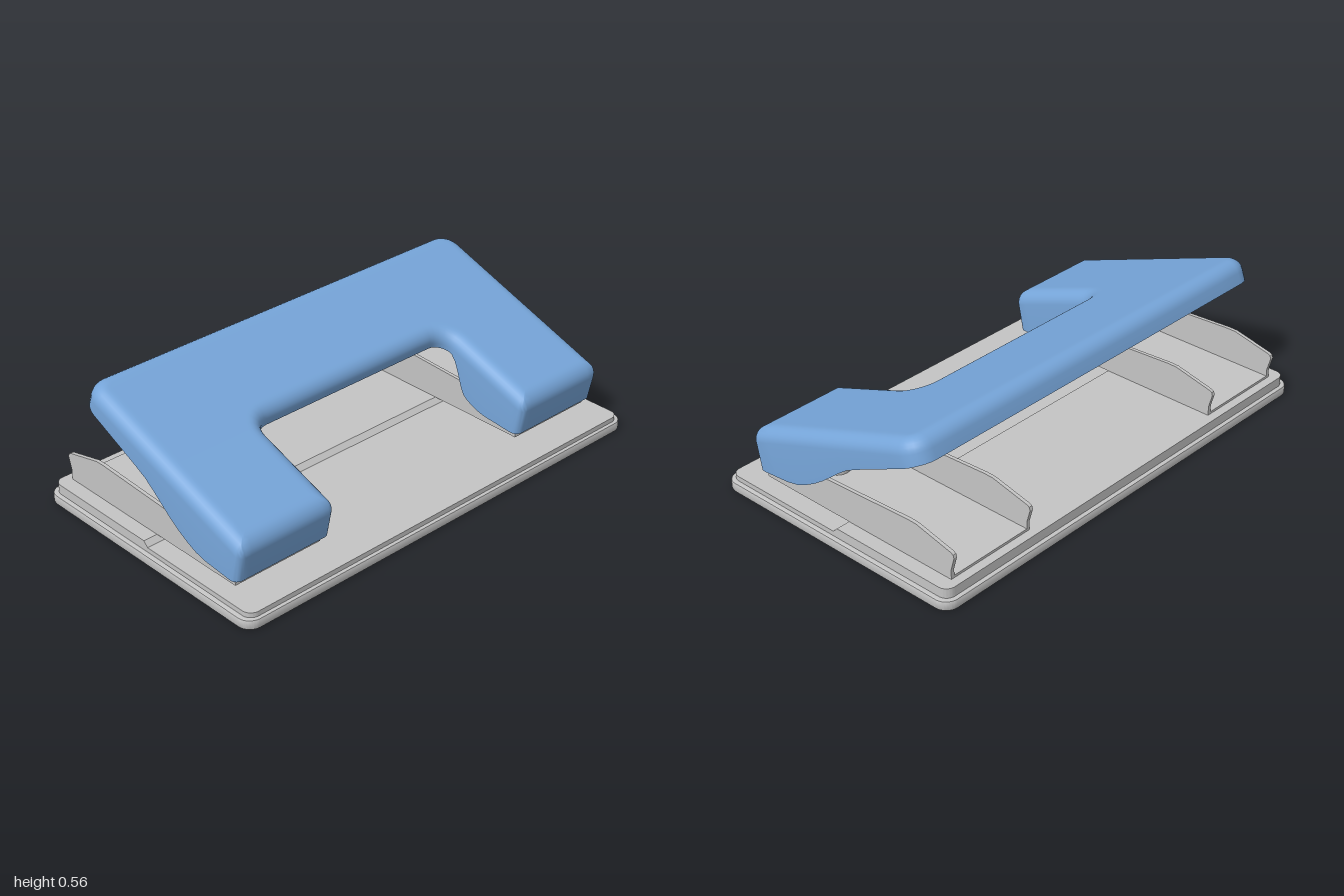
import * as THREE from 'three';
import { toCreasedNormals } from 'three/addons/utils/BufferGeometryUtils.js';

const grey = new THREE.MeshStandardMaterial({ color: 0xc4c4c4 });
grey.name = 'lightGreyMetal';
const blue = new THREE.MeshStandardMaterial({ color: 0x76a5d9 });
blue.name = 'bluePlastic';

const part = (name, geometry, material, x = 0, y = 0, z = 0) => {
  const mesh = new THREE.Mesh(geometry, material);
  mesh.name = name;
  mesh.position.set(x, y, z);
  return mesh;
};

// Flat plate with rounded plan corners: z0 is the rear, rf / rb the front and rear radii
function plate(halfX, z0, z1, height, rf, rb, bevel) {
  const b = bevel, x = halfX - b, lo = -z1 + b, hi = -z0 - b;
  const s = new THREE.Shape();
  s.moveTo(-x + rf, lo);
  s.lineTo(x - rf, lo);
  if (rf) s.absarc(x - rf, lo + rf, rf, -Math.PI / 2, 0);
  s.lineTo(x, hi - rb);
  s.absarc(x - rb, hi - rb, rb, 0, Math.PI / 2);
  s.lineTo(-x + rb, hi);
  s.absarc(-x + rb, hi - rb, rb, Math.PI / 2, Math.PI);
  s.lineTo(-x, lo + rf);
  if (rf) s.absarc(-x + rf, lo + rf, rf, Math.PI, Math.PI * 1.5);
  const g = new THREE.ExtrudeGeometry(s, {
    depth: height - 2 * b, bevelEnabled: b > 0, bevelSize: b, bevelThickness: b, bevelSegments: 2, curveSegments: 8,
  });
  return toCreasedNormals(g.rotateX(-Math.PI / 2).translate(0, b, 0), 0.5);
}

// Side profile of [z, y] points extruded along x, centred on x = 0
function sideProfile(points, width) {
  const s = new THREE.Shape(points.map(([z, y]) => new THREE.Vector2(-z, y)));
  const g = new THREE.ExtrudeGeometry(s, { depth: width, bevelEnabled: false });
  return g.translate(0, 0, -width / 2).rotateY(Math.PI / 2);
}

// Handle plan corners: x, u, inset direction x, inset direction u, radius, concave
const corners = [
  [-0.94, -0.394, 1, 1, 0.085, 0], [0.94, -0.394, -1, 1, 0.085, 0],
  [0.94, 0.513, -1, -1, 0.03, 0], [0.495, 0.513, 1, -1, 0.03, 0],
  [0.495, 0.056, 1, -1, 0.07, 1], [-0.495, 0.056, -1, -1, 0.07, 1],
  [-0.495, 0.513, -1, -1, 0.03, 0], [-0.94, 0.513, 1, -1, 0.03, 0],
];

// Rounded U outline, inset by d, always with the same number of points
function outline(d) {
  const P = corners.map(c => new THREE.Vector2(c[0] + c[2] * d, c[1] + c[3] * d));
  const n = P.length, arcs = P.map((p, i) => {
    const a = p.clone().sub(P[(i + n - 1) % n]).normalize();
    const b = P[(i + 1) % n].clone().sub(p).normalize();
    const r = corners[i][5] ? corners[i][4] + d : Math.max(corners[i][4] - d, 0.005);
    return Array.from({ length: 7 }, (_, k) => {
      const t = k / 6 * Math.PI / 2;
      return p.clone().addScaledVector(a, r * (Math.sin(t) - 1)).addScaledVector(b, r * (1 - Math.cos(t)));
    });
  });
  return arcs.flatMap((arc, i) => {
    const from = arc[6], to = arcs[(i + 1) % n][0];
    const straight = Array.from({ length: 14 }, (_, k) => from.clone().lerp(to, (k + 1) / 15));
    return [...arc, ...straight];
  });
}

// Lower edge of the handle along its length
const rimCurve = new THREE.SplineCurve([
  [-0.394, -0.1], [-0.347, -0.1], [-0.18, -0.114], [-0.017, -0.129], [0.053, -0.146], [0.174, -0.188],
  [0.266, -0.208], [0.342, -0.212], [0.412, -0.197], [0.52, -0.16],
].map(p => new THREE.Vector2(...p))).getPoints(90);
function rimDepth(x, u) {
  let k = rimCurve.findIndex(p => p.x >= u);
  k = k < 0 ? rimCurve.length - 1 : Math.max(k, 1);
  const a = rimCurve[k - 1], b = rimCurve[k];
  const t = THREE.MathUtils.clamp((u - a.x) / (b.x - a.x), 0, 1);
  const v = a.y + (b.y - a.y) * t;
  // The edge around the cut-out is shallower
  if (Math.abs(x) > 0.6 || u < 0) return v;
  return THREE.MathUtils.lerp(-0.076, v, THREE.MathUtils.smoothstep(u, 0.11, 0.26));
}

// Hollow handle shell: loops run from the inner roof, round the rim, to the outer roof
function handleGeometry() {
  const R = 0.055, rim = outline(0).map(p => rimDepth(p.x, p.y));
  const loops = [[0.045, -0.03], [0.03, -0.034], [0.022, -0.045], [0.018, null], [0, null]];
  for (let k = 0; k <= 7; k++) {
    const t = k / 7 * Math.PI / 2;
    loops.push([R * (1 - Math.cos(t)), -R * (1 - Math.sin(t))]);
  }
  loops.push([R + 0.012, 0]);
  const pos = [], idx = [], flat = loops.map(l => outline(l[0])), n = rim.length;
  loops.forEach(([, depth], j) => flat[j].forEach((p, i) => {
    const v = depth === null ? rim[i] : depth;
    pos.push(p.x, v, p.y - v * 0.14 * THREE.MathUtils.smoothstep(p.y, 0.4, 0.5));
  }));
  for (let j = 0; j < loops.length - 1; j++) {
    for (let i = 0; i < n; i++) {
      const a = j * n + i, b = j * n + (i + 1) % n, c = b + n, d = a + n;
      idx.push(a, d, c, a, c, b);
    }
  }
  // Roof faces: the inner one looks down, the outer one up
  for (const [j, up] of [[0, false], [loops.length - 1, true]]) {
    const pts = flat[j];
    for (const [a, b, c] of THREE.ShapeUtils.triangulateShape(pts, [])) {
      const cross = pts[b].clone().sub(pts[a]).cross(pts[c].clone().sub(pts[a]));
      const tri = (cross < 0) === up ? [a, b, c] : [a, c, b];
      idx.push(...tri.map(k => k + j * n));
    }
  }
  const g = new THREE.BufferGeometry();
  g.setAttribute('position', new THREE.Float32BufferAttribute(pos, 3));
  g.setIndex(idx);
  return toCreasedNormals(g, 0.55);
}

export function createModel() {
  const model = new THREE.Group();
  model.name = 'holePunch';

  // Stepped base
  const base = new THREE.Group();
  base.name = 'base';
  base.add(
    part('basePlate', plate(1, -0.58, 0.58, 0.04, 0.05, 0.05, 0.006), grey),
    part('baseDeck', plate(0.98, -0.562, 0.565, 0.02, 0.04, 0.04, 0), grey, 0, 0.04),
    part('rearDeck', plate(0.98, -0.562, -0.015, 0.02, 0, 0.04, 0), grey, 0, 0.06),
    part('deckRamp', sideProfile([[-0.015, 0.06], [0.005, 0.06], [-0.015, 0.08]], 1.96), grey),
  );
  model.add(base);

  // Punch brackets: a floor, two side plates and a pin on each side
  const cheek = [
    [0.42, 0.08], [0.42, 0.19], [0.1, 0.213], [-0.32, 0.234], [-0.36, 0.233], [-0.525, 0.194],
    [-0.536, 0.188], [-0.54, 0.175], [-0.525, 0.12], [-0.525, 0.08],
  ];
  for (const side of [1, -1]) {
    const bracket = new THREE.Group();
    bracket.name = side > 0 ? 'leftBracket' : 'rightBracket';
    bracket.add(
      part('bracketFloor', new THREE.BoxGeometry(0.37, 0.01, 0.945), grey, side * 0.72, 0.085, -0.0525),
      part('outerCheek', sideProfile(cheek, 0.015), grey, side * 0.9125),
      part('innerCheek', sideProfile(cheek, 0.015), grey, side * 0.5275),
      part('punchPin', new THREE.CylinderGeometry(0.049, 0.049, 0.23, 32), grey, side * 0.72, 0.185, 0.258),
    );
    model.add(bracket);
  }

  // Tilted handle
  const handle = part('handle', handleGeometry(), blue, 0, 0.4457, 0);
  handle.rotation.x = 0.347;
  model.add(handle);
  return model;
}
